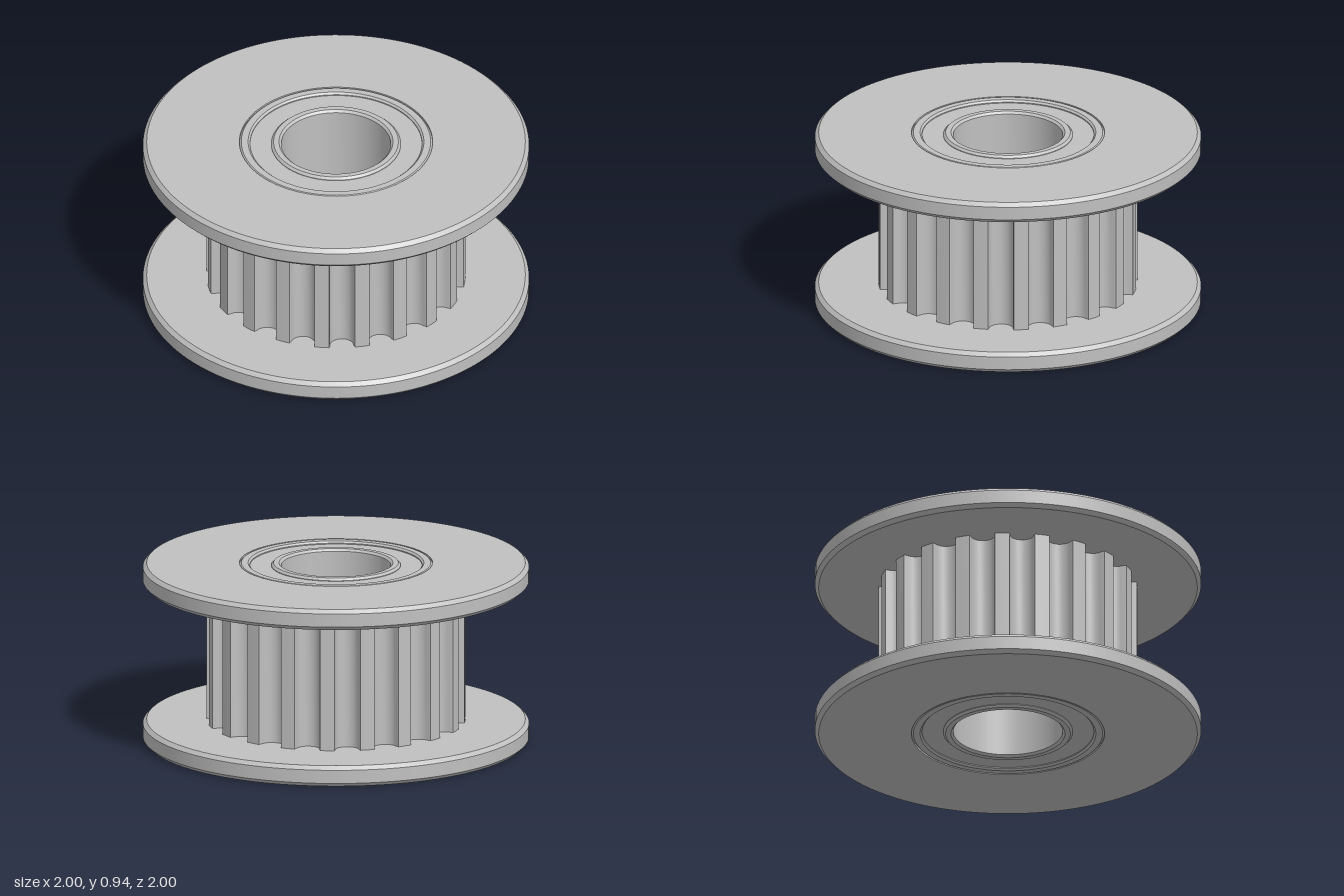
import * as THREE from 'three';
import { toCreasedNormals } from 'three/addons/utils/BufferGeometryUtils.js';

const HEIGHT = 0.945, FLANGE = 0.11, TEETH = 20;

export function createModel() {
  const group = new THREE.Group();
  group.name = 'toothedIdlerPulley';
  const metal = new THREE.MeshStandardMaterial({ color: 0xc0c0c0 });
  metal.name = 'grey metal';

  const add = (name, geometry, y = 0) => {
    const mesh = new THREE.Mesh(toCreasedNormals(geometry, 0.5), metal);
    mesh.name = name;
    mesh.position.y = y;
    group.add(mesh);
  };
  // Closed profile of [radius, height] pairs, counterclockwise
  const lathe = (pts) => new THREE.LatheGeometry(
    [...pts, pts[0]].map(([r, y]) => new THREE.Vector2(r, y)), 128);
  // Rectangular ring with chamfered corners
  const ring = (r0, r1, y0, y1, c) => lathe([
    [r0 + c, y0], [r1 - c, y0], [r1, y0 + c], [r1, y1 - c],
    [r1 - c, y1], [r0 + c, y1], [r0, y1 - c], [r0, y0 + c],
  ]);

  // Chamfered flanges with a straight bore
  const c = 0.02;
  const flange = () => lathe([
    [0.5, 0], [1 - c, 0], [1, c], [1, FLANGE - c], [1 - c, FLANGE], [0.5, FLANGE],
  ]);
  add('bottomFlange', flange());
  add('topFlange', flange(), HEIGHT - FLANGE);

  // Toothed barrel: narrow lands between rounded grooves
  const R = 0.67, groove = 0.062, centre = 0.649, step = Math.PI * 2 / TEETH;
  const outline = [];
  for (let i = 0; i < TEETH; i++) {
    const a = i * step;
    const put = (r, t) => outline.push(new THREE.Vector2(
      r * Math.cos(a) - t * Math.sin(a), r * Math.sin(a) + t * Math.cos(a)));
    put(R * Math.cos(0.1), -R * Math.sin(0.1));
    for (let k = 0; k <= 12; k++) {
      const b = -Math.PI / 2 + Math.PI * k / 12;
      put(centre - groove * Math.cos(b), groove * Math.sin(b));
    }
    put(R * Math.cos(0.1), R * Math.sin(0.1));
    put(R * Math.cos(step / 2), R * Math.sin(step / 2));
  }
  const shape = new THREE.Shape(outline);
  shape.holes.push(new THREE.Path().absarc(0, 0, 0.5, 0, Math.PI * 2, true));
  const barrel = new THREE.ExtrudeGeometry(shape, {
    depth: HEIGHT - 2 * FLANGE, bevelEnabled: false, curveSegments: 64,
  });
  barrel.rotateX(-Math.PI / 2);
  add('toothedBarrel', barrel, FLANGE);

  // Bearing: outer race, recessed shield and inner race around the open bore
  add('bearingOuterRace', ring(0.445, 0.5, 0, HEIGHT, 0.01));
  add('bearingShield', ring(0.33, 0.45, 0.015, HEIGHT - 0.015, 0.002));
  add('bearingInnerRace', ring(0.283, 0.335, 0, HEIGHT, 0.012));

  return group;
}
